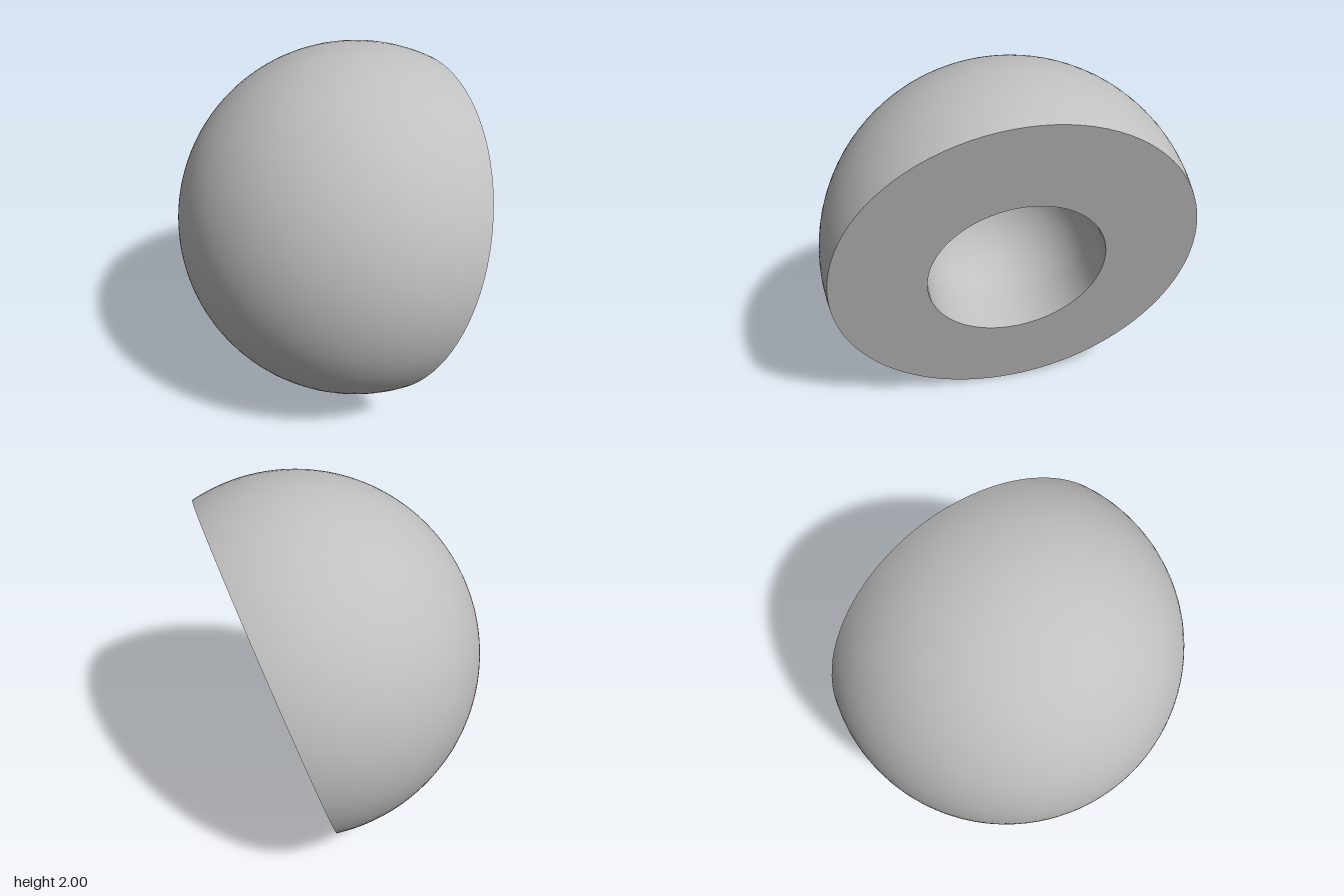
import * as THREE from 'three';

const R = 1;          // outer radius
const CUT = 0.193;    // distance of the cut plane from the sphere centre
const HOLE = 0.478;   // socket radius

// Arc of profile points; angle measured from the bottom pole
function arc(radius, from, to, steps) {
  return Array.from({ length: steps + 1 }, (_, i) => {
    const a = from + (to - from) * i / steps;
    return new THREE.Vector2(Math.max(0, Math.sin(a) * radius), -Math.cos(a) * radius);
  });
}

export function createModel() {
  const gray = new THREE.MeshStandardMaterial({ color: 0xc0c0c0 });
  gray.name = 'gray';

  const cup = new THREE.Group();
  cup.name = 'truncatedSphere';
  const add = (name, points) => {
    const mesh = new THREE.Mesh(new THREE.LatheGeometry(points, 96), gray);
    mesh.name = name;
    cup.add(mesh);
  };
  const rim = Math.sqrt(R * R - CUT * CUT);

  // Outer shell from the pole to the cut
  add('outerShell', arc(R, 0, Math.PI - Math.acos(CUT / R), 64));
  // Flat ring on the cut plane
  add('cutFace', [new THREE.Vector2(rim, CUT), new THREE.Vector2(HOLE, CUT)]);
  // Straight socket wall down to the sphere centre
  add('socketWall', [new THREE.Vector2(HOLE, CUT), new THREE.Vector2(HOLE, 0)]);
  // Hollow hemispherical socket floor
  add('socketBowl', arc(HOLE, Math.PI / 2, 0, 32));

  // Tip the cut face toward the left side, slightly down and forward
  const axis = new THREE.Vector3(0.96, -0.277, 0.043).normalize();
  cup.quaternion.setFromUnitVectors(new THREE.Vector3(0, 1, 0), axis);
  cup.position.set(0.27, 0.998, 0);

  const model = new THREE.Group();
  model.name = 'model';
  model.add(cup);
  return model;
}
